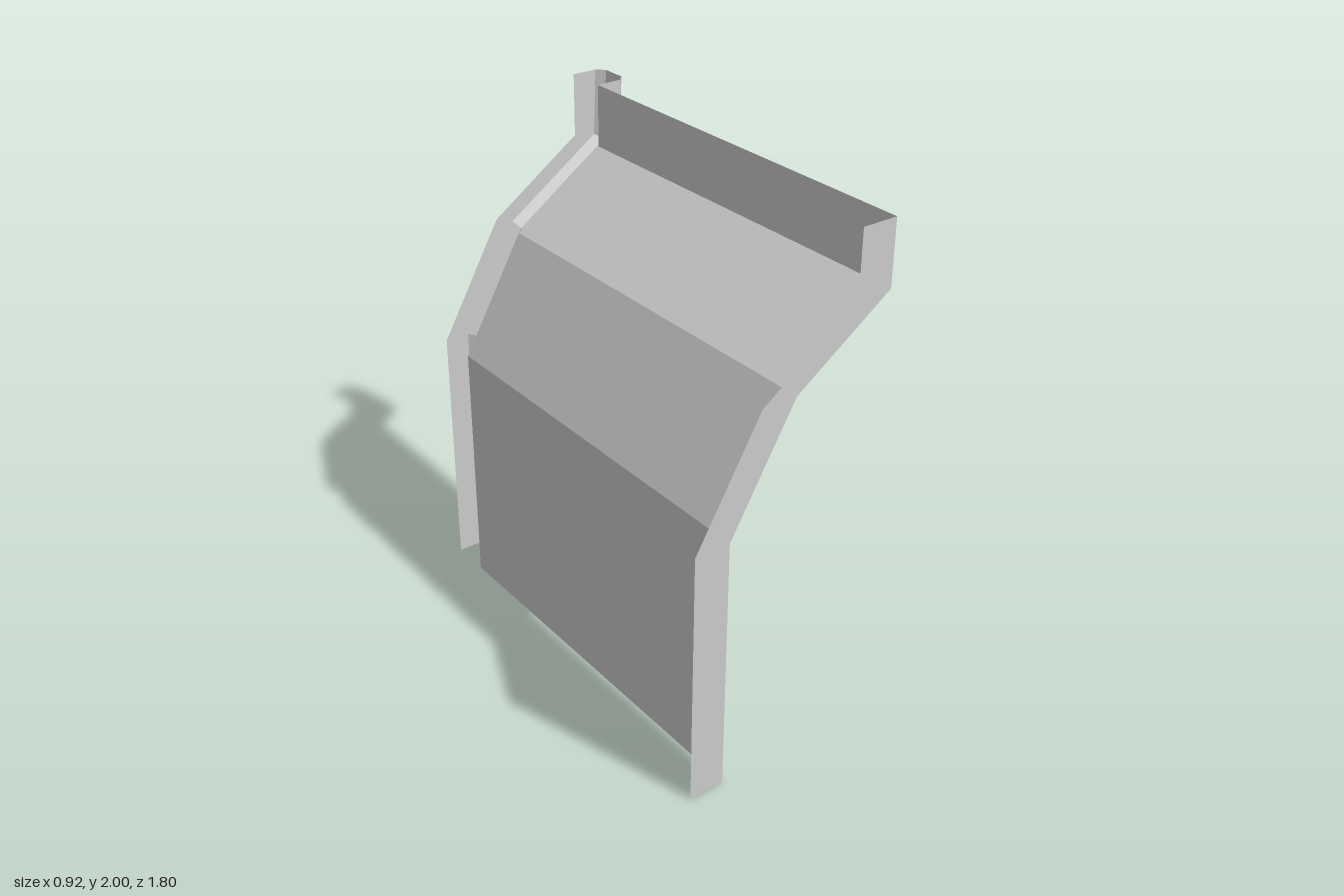
import * as THREE from 'three';

// Bent side profiles, bottom to top, as [x, y]
const skinProfile = [[-0.32, 0], [-0.32, 1.02], [-0.06, 1.48], [0.325, 1.75], [0.325, 2]];
const innerProfile = skinProfile.map(([x, y]) => [x - 0.143, y]);
const shoulderProfile = [[-0.22, 0], [-0.22, 1.02], [0.015, 1.455], [0.418, 1.735], [0.43, 2]];
const bandProfile = [[-0.19, 0], [-0.19, 1.015], [0.035, 1.43], [0.445, 1.717], [0.46, 2]];

// Rails that run up the panel, in order from the front edge round to the back edge
const rails = [
  { profile: innerProfile, z: 0.9 },
  { profile: skinProfile, z: 0.9 },
  { profile: skinProfile, z: -0.735 },
  { profile: shoulderProfile, z: -0.735 },
  { profile: bandProfile, z: -0.765 },
  { profile: bandProfile, z: -0.87 },
  { profile: shoulderProfile, z: -0.9 },
  { profile: skinProfile, z: -0.9 },
];
const stripNames = ['frontFlange', 'outerPanel', 'beadStep', 'beadFrontChamfer',
  'beadBand', 'beadBackChamfer', 'backFlange'];

// Sheet strip between two neighbouring rails
function stripGeometry(a, b) {
  const positions = [];
  const point = (rail, i) => [...rail.profile[i], rail.z];
  for (let i = 0; i < a.profile.length - 1; i++) {
    const a0 = point(a, i), a1 = point(a, i + 1);
    const b0 = point(b, i), b1 = point(b, i + 1);
    positions.push(...a0, ...b0, ...b1, ...a0, ...b1, ...a1);
  }
  const geometry = new THREE.BufferGeometry();
  geometry.setAttribute('position', new THREE.Float32BufferAttribute(positions, 3));
  geometry.computeVertexNormals();
  return geometry;
}

export function createModel() {
  const model = new THREE.Group();
  model.name = 'bentSidePanel';
  const material = new THREE.MeshStandardMaterial({
    color: 0xcccccc, flatShading: true, side: THREE.DoubleSide,
  });
  stripNames.forEach((name, i) => {
    const mesh = new THREE.Mesh(stripGeometry(rails[i], rails[i + 1]), material);
    mesh.name = name;
    model.add(mesh);
  });
  return model;
}
